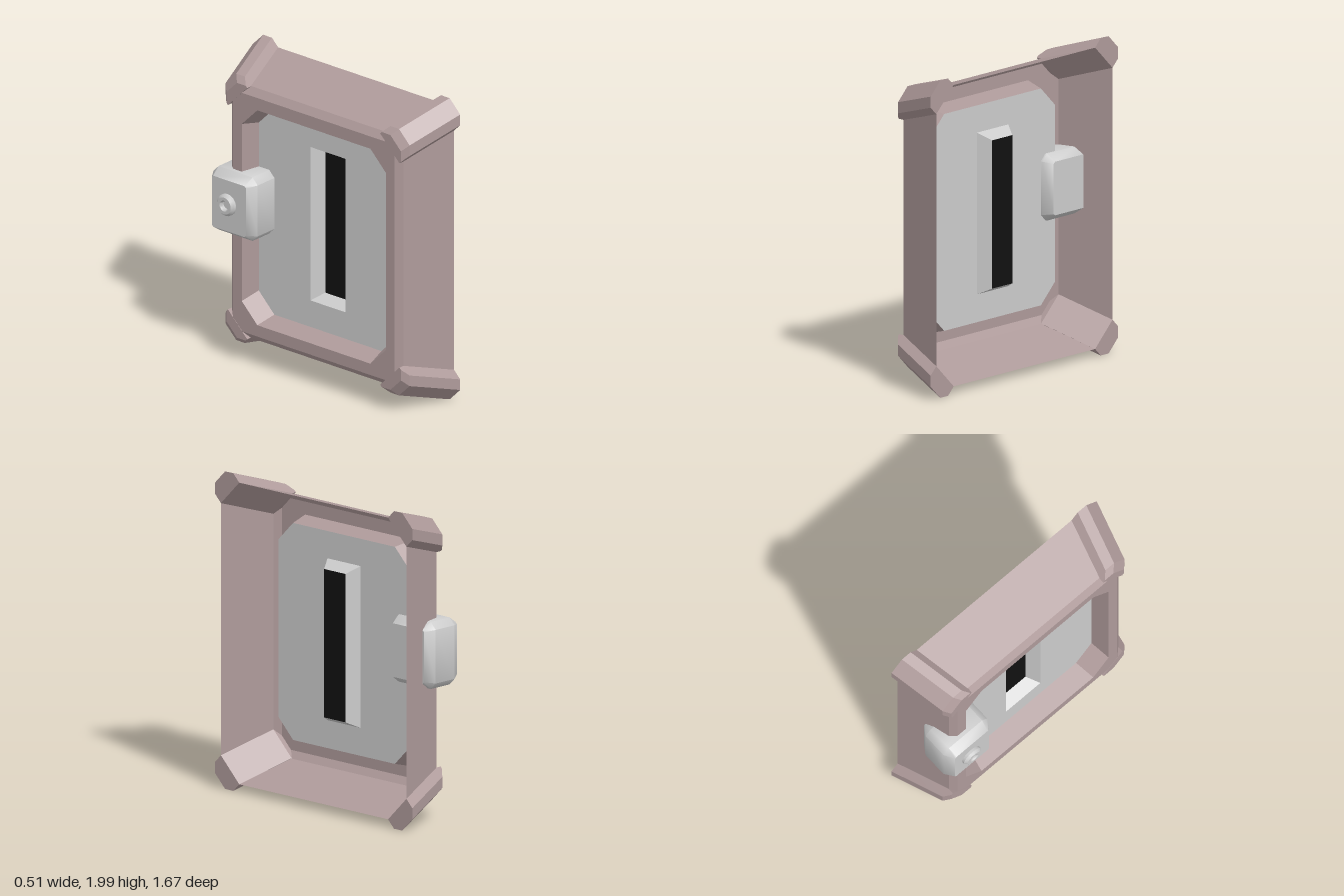
import * as THREE from 'three';
import { toCreasedNormals } from 'three/addons/utils/BufferGeometryUtils.js';

const material = (color) => new THREE.MeshStandardMaterial({ color, side: THREE.DoubleSide });

// Chamfered rectangle in the z-y plane at a given x (always 8 points)
function ring(x, cz, cy, hz, hy, cut) {
  const p = [];
  for (const [sz, sy, flip] of [[1, 1, 0], [-1, 1, 1], [-1, -1, 0], [1, -1, 1]]) {
    const a = [x, cy + sy * (hy - cut), cz + sz * hz];
    const b = [x, cy + sy * hy, cz + sz * (hz - cut)];
    p.push(...(flip ? [b, a] : [a, b]));
  }
  return p;
}

// Skin between successive closed loops, with optional flat end caps
function loft(loops, capStart = false, capEnd = false, crease = 0.1) {
  const pos = [], n = loops[0].length;
  const tri = (a, b, c) => pos.push(...a, ...b, ...c);
  for (let k = 0; k + 1 < loops.length; k++) {
    const A = loops[k], B = loops[k + 1];
    for (let i = 0; i < n; i++) {
      const j = (i + 1) % n;
      tri(A[i], B[i], B[j]);
      tri(A[i], B[j], A[j]);
    }
  }
  const S = loops[0], E = loops[loops.length - 1];
  for (let i = 1; i + 1 < n; i++) {
    if (capStart) tri(S[0], S[i], S[i + 1]);
    if (capEnd) tri(E[0], E[i + 1], E[i]);
  }
  const g = new THREE.BufferGeometry();
  g.setAttribute('position', new THREE.Float32BufferAttribute(pos, 3));
  g.computeVertexNormals();
  return toCreasedNormals(g, crease);
}

export function createModel() {
  const model = new THREE.Group();
  const brown = material(0xae9a9a), grey = material(0xcccccc), black = material(0x111111);
  const add = (name, geometry, mat, parent = model) => {
    const mesh = new THREE.Mesh(geometry, mat);
    mesh.name = name;
    parent.add(mesh);
    return mesh;
  };

  // Flared frame: outer wall, bevel, flat rim, then the inner step up to the panel
  const panelEdge = ring(-0.01, 0, 1.005, 0.556, 0.68, 0.125);
  add('frame', loft([
    ring(0.255, 0, 1.005, 0.785, 0.945, 0.01),
    ring(-0.105, 0, 1.005, 0.69, 0.832, 0.01),
    ring(-0.14, 0, 1.003, 0.65, 0.788, 0.01),
    ring(-0.14, 0, 1.0, 0.58, 0.71, 0.125),
    panelEdge,
  ]), brown);

  // Panel with a raised slot housing
  const slotEnd = ring(0.07, 0, 1.005, 0.09, 0.465, 0);
  add('panel', loft([
    panelEdge,
    ring(-0.01, 0, 1.007, 0.14, 0.507, 0),
    slotEnd,
  ]), grey);
  add('slotWindow', loft([slotEnd], true), black);

  // Hexagonal corner bumpers following the flare; [z, y above the centre]
  const hex = [[0.75, 0.995], [0.68, 0.995], [0.63, 0.945], [0.785, 0.79], [0.835, 0.84], [0.835, 0.91]];
  const bumpers = new THREE.Group();
  bumpers.name = 'cornerBumpers';
  model.add(bumpers);
  for (const sz of [1, -1]) {
    for (const sy of [1, -1]) {
      const section = (x, dz, dy, inset) => hex.map(([z, y], i) => {
        const d = i === 2 || i === 3 ? 0 : inset;
        return [x, 1.005 + sy * (y - dy - d), sz * (z - dz - d)];
      });
      add('cornerBumper', loft([
        section(0.255, 0, 0, 0),
        section(-0.105, 0.095, 0.115, 0),
        section(-0.142, 0.095, 0.115, 0.038),
      ], true, true), brown, bumpers);
    }
  }

  // Chamfered lock box passing through the side wall
  add('lockBox', loft([
    ring(0.06, -0.608, 1.06, 0.138, 0.168, 0.012),
    ring(0.0, -0.608, 1.06, 0.178, 0.21, 0.042),
    ring(-0.165, -0.608, 1.06, 0.178, 0.21, 0.042),
    ring(-0.227, -0.608, 1.06, 0.138, 0.168, 0.012),
  ], true, true, 0.85), grey);

  // Round knob with a hollow centre, pointing to -x
  const profile = [[0.07, 0], [0.07, 0.018], [0.055, 0.034], [0.035, 0.034], [0.028, 0.026], [0.028, 0.004], [0, 0.004]]
    .map(([r, h]) => new THREE.Vector2(r, h));
  const knob = add('lockKnob', toCreasedNormals(new THREE.LatheGeometry(profile, 20), 0.6), grey);
  knob.rotation.z = Math.PI / 2;
  knob.position.set(-0.226, 1.07, -0.62);

  return model;
}
